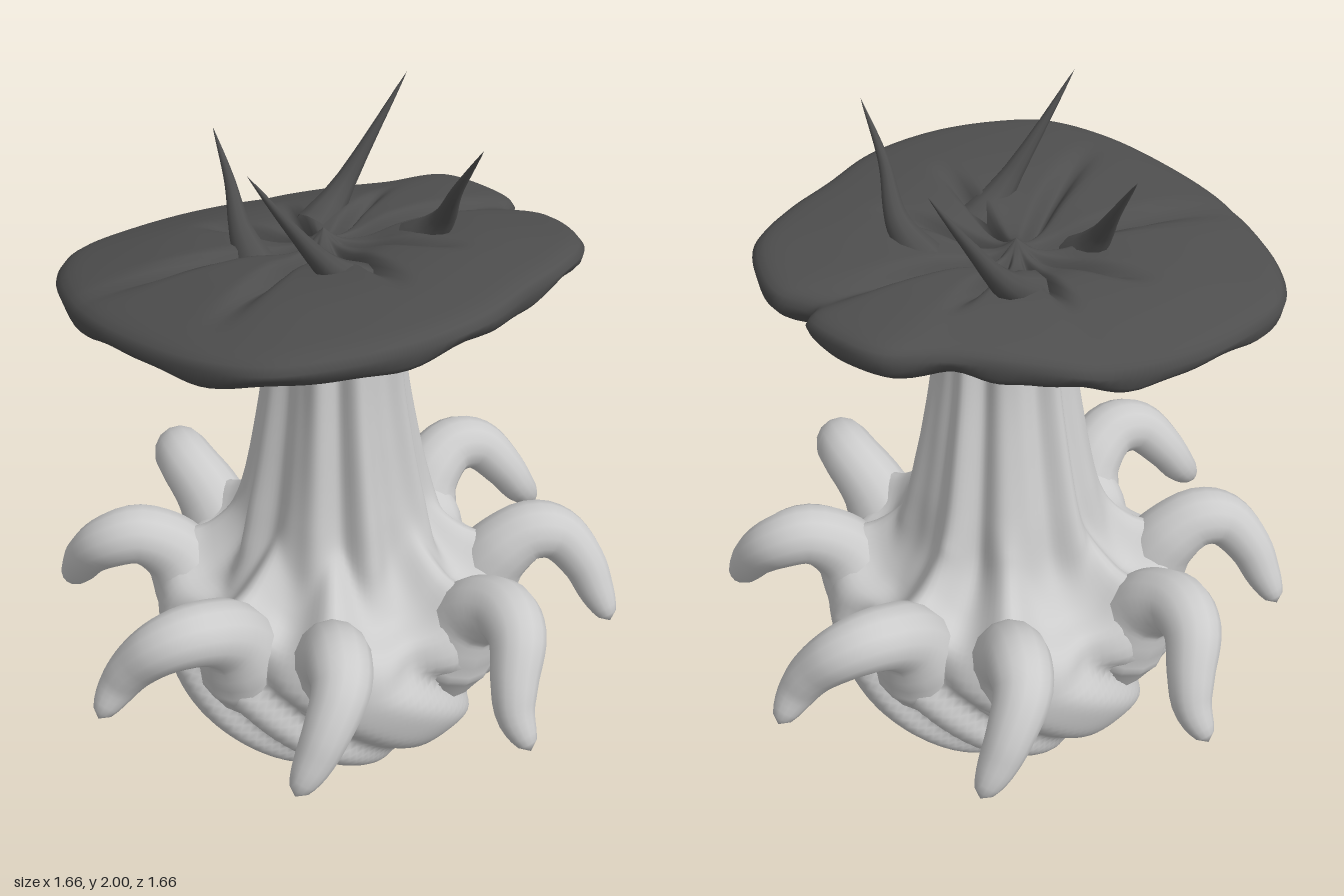
import * as THREE from 'three';
import { mergeVertices } from 'three/addons/utils/BufferGeometryUtils.js';

const V3 = (p) => new THREE.Vector3(...p);
const spline2 = (pts) => new THREE.SplineCurve(pts.map((p) => new THREE.Vector2(...p)));
const { smoothstep } = THREE.MathUtils;

// Closed-around grid surface: point(u, v) with u going round and v going upward
function loft(point, nu, nv) {
  const pos = [], idx = [];
  for (let j = 0; j <= nv; j++)
    for (let i = 0; i < nu; i++) pos.push(...point(i / nu, j / nv));
  for (let j = 0; j < nv; j++)
    for (let i = 0; i < nu; i++) {
      const a = j * nu + i, b = j * nu + (i + 1) % nu;
      idx.push(a, b, b + nu, a, b + nu, a + nu);
    }
  const g = new THREE.BufferGeometry();
  g.setAttribute('position', new THREE.Float32BufferAttribute(pos, 3));
  g.setIndex(idx);
  g.computeVertexNormals();
  return g;
}

// Tube along a spline whose radius follows a list; the tip is rounded off
function taperedTube(points, radii, n, sides) {
  const curve = new THREE.CatmullRomCurve3(points.map(V3));
  const g = new THREE.TubeGeometry(curve, n, 1, sides);
  const p = g.attributes.position, v = new THREE.Vector3();
  for (let k = 0; k < p.count; k++) {
    const t = Math.floor(k / (sides + 1)) / n, c = curve.getPointAt(t);
    const f = t * (radii.length - 1), i = Math.min(Math.floor(f), radii.length - 2);
    const r = THREE.MathUtils.lerp(radii[i], radii[i + 1], f - i) * Math.sqrt(1 - t ** 14);
    v.fromBufferAttribute(p, k).sub(c).multiplyScalar(r).add(c);
    p.setXYZ(k, v.x, v.y, v.z);
  }
  g.deleteAttribute('uv');
  g.deleteAttribute('normal');
  const m = mergeVertices(g, 1e-5);
  m.computeVertexNormals();
  return m;
}

export function createModel() {
  const group = new THREE.Group();
  const pale = new THREE.MeshStandardMaterial({ color: 0xcccccc, side: THREE.DoubleSide });
  const dark = new THREE.MeshStandardMaterial({ color: 0x4e4e4e, side: THREE.DoubleSide });
  const add = (name, geo, mat, parent = group) => {
    const m = new THREE.Mesh(geo, mat);
    m.name = name;
    parent.add(m);
    return m;
  };

  // Bulb with twisted folds, rising under each arm and running up into a fluted stalk
  const profile = spline2([[0, 0.005], [0.2, 0.03], [0.37, 0.11], [0.485, 0.24], [0.53, 0.38], [0.535, 0.52],
    [0.49, 0.595], [0.38, 0.635], [0.3, 0.73], [0.255, 0.92], [0.22, 1.1], [0.19, 1.3], [0.172, 1.55]]);
  const armAngles = [0.47, 1.11];
  add('bulbAndStalk', loft((u, v) => {
    const q = profile.getPointAt(v), a = u * Math.PI * 2, y = q.y;
    const twist = 0.05 + 2.6 * Math.max(0, 0.52 - y);
    const bulb = (1 - smoothstep(y, 0.54, 0.7)) * smoothstep(q.x + y, 0.05, 0.45);
    const groove = (0.5 + 0.5 * Math.cos(4 * (a - twist))) ** 10;
    const fold = (0.5 + 0.5 * Math.cos(4 * (a - twist - 0.62))) ** 12;
    const stalk = smoothstep(y, 0.6, 0.8);
    const flute = Math.cos(9 * a + 0.5) + 0.45 * Math.cos(14 * a + 1 + y);
    const r = q.x * (1 - bulb * (0.12 * groove + 0.09 * fold) + stalk * 0.07 * flute);
    const lean = smoothstep(y, 0.75, 1.45);
    let rise = 0;
    for (const c of armAngles) rise += Math.exp(-((Math.sin(2 * (a - c)) / 0.36) ** 2));
    rise *= 0.1 * smoothstep(y, 0.5, 0.62) * (1 - smoothstep(y, 0.64, 0.95));
    return [r * Math.sin(a) - 0.015 * lean, y + rise, r * Math.cos(a) + 0.03 * lean];
  }, 144, 84), pale);

  // Two kinds of drooping arm, growing out of the bulb wall, each repeated every quarter turn
  const arms = new THREE.Group();
  arms.name = 'arms';
  group.add(arms);
  const radii = [0.1, 0.135, 0.125, 0.105, 0.094, 0.087, 0.076, 0.066, 0.058, 0.048];
  const armPaths = [
    [[0.17, 0.38, 0.36], [0.2, 0.52, 0.385], [0.235, 0.645, 0.44], [0.265, 0.708, 0.54], [0.255, 0.695, 0.63],
      [0.205, 0.61, 0.71], [0.185, 0.54, 0.755], [0.2, 0.455, 0.825]],
    [[-0.15, 0.38, 0.36], [-0.18, 0.52, 0.385], [-0.215, 0.645, 0.44], [-0.24, 0.708, 0.53], [-0.27, 0.69, 0.61],
      [-0.335, 0.615, 0.665], [-0.385, 0.54, 0.685], [-0.45, 0.455, 0.705]],
  ];
  armPaths.forEach((path, k) => {
    const geo = taperedTube(path, radii, 36, 14);
    for (let i = 0; i < 4; i++)
      add(k ? 'rightBentArm' : 'leftBentArm', geo, pale, arms).rotation.y = i * Math.PI / 2;
  });

  // Tilted, irregular cap with radial creases
  const cx = -0.02, cz = -0.03;
  const outline = new THREE.CatmullRomCurve3([
    [-0.1, 0.645], [0.12, 0.6], [0.3, 0.5], [0.45, 0.42], [0.575, 0.32], [0.62, 0.2], [0.62, 0.08],
    [0.555, -0.01], [0.59, -0.06], [0.57, -0.17], [0.5, -0.3], [0.35, -0.35], [0.2, -0.43], [0, -0.52],
    [-0.2, -0.545], [-0.4, -0.52], [-0.6, -0.44], [-0.69, -0.28], [-0.715, 0], [-0.66, 0.25],
    [-0.57, 0.45], [-0.45, 0.58], [-0.3, 0.63]].map(([x, z]) => V3([x, 0, z])), true);
  const section = spline2([[0.2, -0.2], [0.3, -0.165], [0.42, -0.125], [0.65, -0.09], [0.85, -0.065], [0.96, -0.038],
    [1, 0], [0.975, 0.03], [0.88, 0.052], [0.6, 0.08], [0.35, 0.082], [0.18, 0.06], [0.07, 0.065], [0, 0.1]]);
  // Crease direction, and how far out it reaches
  const creases = [[0.05, 0.7], [0.75, 0.65], [1.57, 1.1], [2.2, 0.75], [3.14, 0.65], [3.9, 0.6], [4.69, 1.1], [5.4, 0.9]];
  add('cap', loft((u, v) => {
    const q = section.getPointAt(v), e = outline.getPoint(u);
    const a = Math.atan2(e.x - cx, e.z - cz);
    const x = cx + (e.x - cx) * q.x, z = cz + (e.z - cz) * q.x;
    let y = 1.6 + 0.12 * z + 0.02 * x + 0.3 * Math.max(0, x) * Math.max(0, -z) + q.y;
    if (q.y > 0)
      for (const [dir, reach] of creases) {
        const d = Math.atan2(Math.sin(a - dir), Math.cos(a - dir)) * (0.3 + q.x);
        y -= 0.055 * Math.exp(-((d / 0.06) ** 2)) * smoothstep(q.x, 0.03, 0.2) * (1 - smoothstep(q.x, 0.25, reach));
      }
    else y += 0.01 * Math.sin(9 * a) * q.x + 0.004 * Math.sin(17 * a);
    return [x, y, z];
  }, 160, 64), dark);

  // Curved thorns on the cap
  const thorns = [
    [[-0.03, 1.63, 0.2], [-0.12, 1.71, 0.22], [-0.23, 1.85, 0.225], [-0.335, 2, 0.225]],
    [[0.03, 1.62, -0.18], [0.12, 1.7, -0.22], [0.23, 1.85, -0.235], [0.33, 2, -0.24]],
    [[0.205, 1.64, 0.06], [0.24, 1.73, 0.14], [0.23, 1.86, 0.235], [0.245, 2, 0.33]],
    [[-0.205, 1.6, -0.05], [-0.22, 1.69, -0.12], [-0.215, 1.8, -0.2], [-0.225, 1.92, -0.28]],
  ];
  for (const path of thorns)
    add('thorn', taperedTube(path, [0.065, 0.044, 0.03, 0.021, 0.014, 0.008, 0.002], 24, 10), dark);

  return group;
}
